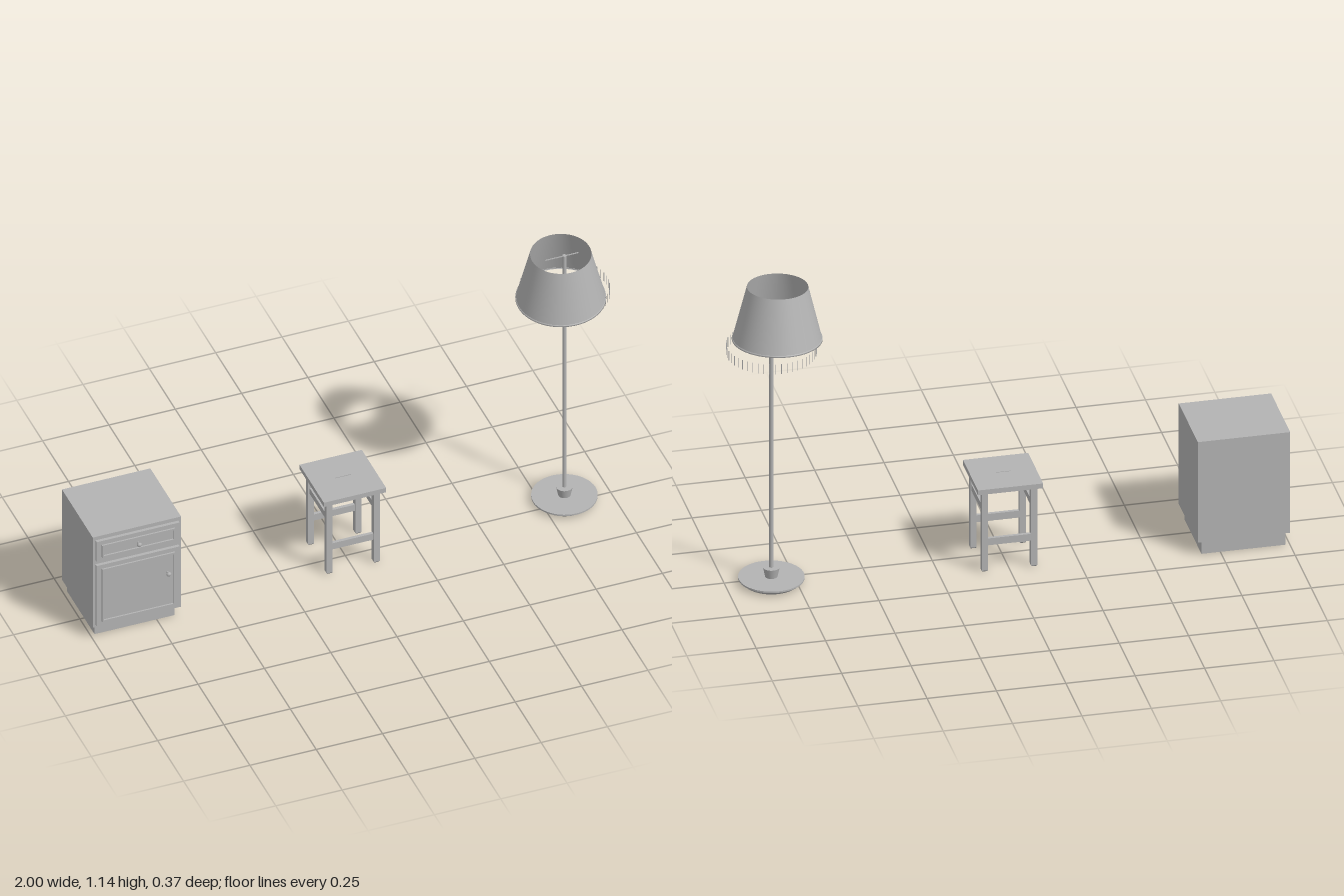
import * as THREE from 'three';

const grey = new THREE.MeshStandardMaterial({ color: 0xb3b3b3 });
grey.name = 'plain grey';
const greyThin = new THREE.MeshStandardMaterial({ color: 0xb3b3b3, side: THREE.DoubleSide });
greyThin.name = 'plain grey, thin surfaces';

function add(parent, name, geometry, x = 0, y = 0, z = 0, material = grey) {
  const mesh = new THREE.Mesh(geometry, material);
  mesh.name = name;
  mesh.position.set(x, y, z);
  parent.add(mesh);
  return mesh;
}

// Box given by its two extreme corners
function box(parent, name, [x0, y0, z0], [x1, y1, z1]) {
  return add(parent, name, new THREE.BoxGeometry(x1 - x0, y1 - y0, z1 - z0),
    (x0 + x1) / 2, (y0 + y1) / 2, (z0 + z1) / 2);
}

function lathe(points, segments = 48) {
  return new THREE.LatheGeometry(points.map(([r, y]) => new THREE.Vector2(r, y)), segments);
}

// Rectangular plate with a rectangular hole, extruded along z
function frame(w, h, holeW, holeH, depth) {
  const rect = (Path, a, b) => {
    const p = new Path();
    p.moveTo(-a / 2, -b / 2);
    p.lineTo(a / 2, -b / 2);
    p.lineTo(a / 2, b / 2);
    p.lineTo(-a / 2, b / 2);
    p.closePath();
    return p;
  };
  const shape = rect(THREE.Shape, w, h);
  shape.holes.push(rect(THREE.Path, holeW, holeH));
  return new THREE.ExtrudeGeometry(shape, { depth, bevelEnabled: false });
}

function makeCabinet() {
  const g = new THREE.Group();
  g.name = 'cabinet';
  box(g, 'plinth', [-0.984, 0, -0.165], [-0.682, 0.05, 0.1]);
  box(g, 'body', [-1, 0.05, -0.173], [-0.667, 0.45, 0.124]);

  // Drawer and door: slab, raised moulding, knob
  const fronts = [
    { name: 'drawer', y0: 0.347, y1: 0.435, knobX: -0.834, knobY: 0.39 },
    { name: 'door', y0: 0.062, y1: 0.329, knobX: -0.723, knobY: 0.228 },
  ];
  for (const { name, y0, y1, knobX, knobY } of fronts) {
    box(g, name + 'Front', [-0.99, y0, 0.124], [-0.677, y1, 0.136]);
    const w = 0.275, h = y1 - y0 - 0.034;
    add(g, name + 'Moulding', frame(w, h, w - 0.014, h - 0.014, 0.006), -0.8335, (y0 + y1) / 2, 0.136);
    const knob = add(g, name + 'Knob', lathe([
      [0.004, 0], [0.004, 0.008], [0.008, 0.011], [0.009, 0.015], [0.006, 0.019], [0, 0.02],
    ], 20), knobX, knobY, 0.136);
    knob.rotation.x = Math.PI / 2;
  }
  return g;
}

function makeStool() {
  const g = new THREE.Group();
  g.name = 'stool';
  g.position.z = -0.023;

  // Seat with a narrow grip slot
  const seat = add(g, 'seat', frame(0.235, 0.235, 0.055, 0.003, 0.019), 0, 0.316, 0);
  seat.rotation.x = -Math.PI / 2;

  for (const s of [-1, 1]) {
    for (const t of [-1, 1]) {
      add(g, 'leg', new THREE.BoxGeometry(0.022, 0.312, 0.022), s * 0.089, 0.16, t * 0.089);
      // Chamfered foot
      const foot = add(g, 'foot', new THREE.CylinderGeometry(0.0155, 0.0125, 0.004, 4), s * 0.089, 0.002, t * 0.089);
      foot.rotation.y = Math.PI / 4;
    }
    // Low rails front and back, high rails at the sides
    add(g, 'lowRail', new THREE.BoxGeometry(0.158, 0.027, 0.012), 0, 0.114, s * 0.089);
    add(g, 'sideRail', new THREE.BoxGeometry(0.012, 0.025, 0.158), s * 0.089, 0.241, 0);
  }
  return g;
}

function makeLamp() {
  const g = new THREE.Group();
  g.name = 'floorLamp';
  g.position.set(0.835, 0, -0.023);

  // Foot, collar, pole
  add(g, 'base', new THREE.CylinderGeometry(0.117, 0.117, 0.006, 48), 0, 0.017, 0);
  add(g, 'baseUnderside', new THREE.CylinderGeometry(0.117, 0.1, 0.014, 48), 0, 0.007, 0);
  add(g, 'collar', new THREE.CylinderGeometry(0.03, 0.022, 0.037, 32), 0, 0.0385, 0);
  add(g, 'pole', new THREE.CylinderGeometry(0.0075, 0.0075, 1.03, 20), 0, 0.565, 0);
  add(g, 'shadeHolder', new THREE.BoxGeometry(0.125, 0.003, 0.003), -0.01, 1.078, 0);

  // Shade, slightly tilted and off centre
  const shade = new THREE.Group();
  shade.name = 'shade';
  shade.position.set(-0.032, 0.937, 0.047);
  shade.rotation.set(0.047, 0, 0.018);
  g.add(shade);
  add(shade, 'shadeCone', lathe([[0.158, 0], [0.108, 0.201]], 64), 0, 0, 0, greyThin);
  add(shade, 'shadeRim', lathe([[0.155, 0], [0.16, 0], [0.159, 0.006], [0.155, 0.006]], 64), 0, -0.001, 0, greyThin);

  // Ring of hanging fringe threads, centred on the pole
  const count = 48;
  const thread = new THREE.CylinderGeometry(0.0012, 0.0012, 0.038, 6);
  const fringe = new THREE.Group();
  fringe.name = 'fringe';
  g.add(fringe);
  for (let i = 0; i < count; i++) {
    const a = (i / count) * Math.PI * 2;
    add(fringe, 'thread', thread, Math.cos(a) * 0.159, 0.926, Math.sin(a) * 0.159);
  }
  return g;
}

export function createModel() {
  const model = new THREE.Group();
  model.name = 'furnitureSet';
  model.add(makeCabinet(), makeStool(), makeLamp());
  return model;
}
